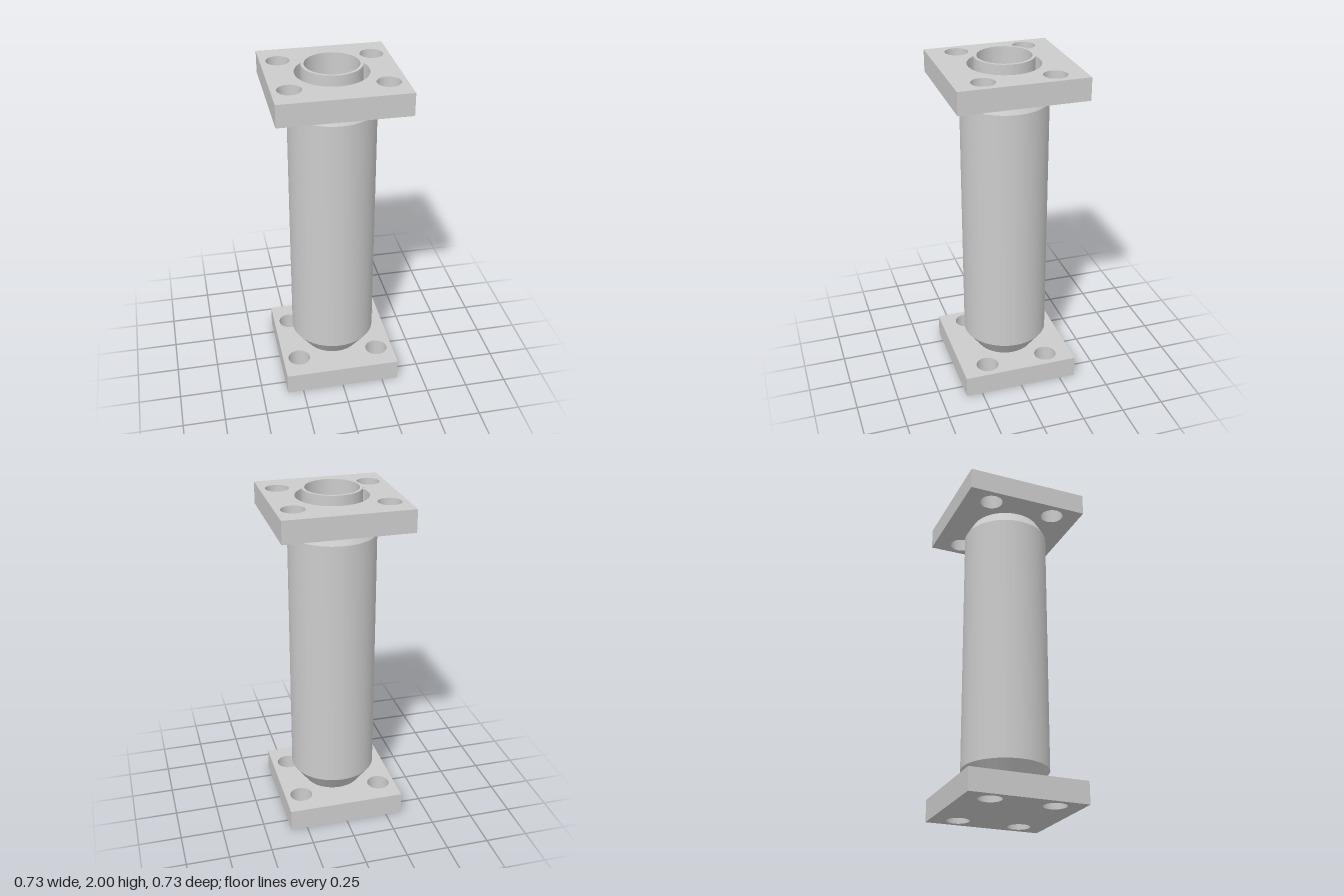
import * as THREE from 'three';
import { toCreasedNormals } from 'three/addons/utils/BufferGeometryUtils.js';

const material = new THREE.MeshStandardMaterial({ color: 0xcccccc });

// Square plate with four bolt holes and an optional centre bore
function flange(name, half, y, height, holeX, holeZ, bore) {
  const shape = new THREE.Shape();
  shape.moveTo(-half, -half);
  shape.lineTo(half, -half);
  shape.lineTo(half, half);
  shape.lineTo(-half, half);
  shape.closePath();
  const addHole = (x, z, radius) =>
    shape.holes.push(new THREE.Path().absarc(x, z, radius, 0, Math.PI * 2, true));
  for (const sx of [-1, 1]) {
    for (const sz of [-1, 1]) addHole(sx * holeX, sz * holeZ, 0.067);
  }
  if (bore) addHole(0, 0, bore);
  const geometry = new THREE.ExtrudeGeometry(shape, {
    depth: height, bevelEnabled: false, curveSegments: 32,
  });
  geometry.rotateX(-Math.PI / 2).translate(0, y, 0);
  const mesh = new THREE.Mesh(toCreasedNormals(geometry, 0.6), material);
  mesh.name = name;
  return mesh;
}

export function createModel() {
  const group = new THREE.Group();
  group.name = 'flangedTube';

  group.add(flange('bottomFlange', 0.347, 0, 0.13, 0.247, 0.187, 0));
  group.add(flange('topFlange', 0.367, 1.825, 0.13, 0.267, 0.2, 0.207));

  // Hollow body: tapered foot, barrel, sloped shoulder, neck and inner bore
  const profile = [
    [0.172, 0.13], [0.253, 0.24], [0.253, 1.745], [0.207, 1.825],
    [0.17, 1.825], [0.17, 2], [0.153, 2], [0.153, 0.132], [0, 0.132],
  ].map(([r, y]) => new THREE.Vector2(r, y));
  const body = new THREE.Mesh(
    toCreasedNormals(new THREE.LatheGeometry(profile, 64), 0.5), material);
  body.name = 'tubeBody';
  group.add(body);

  return group;
}
